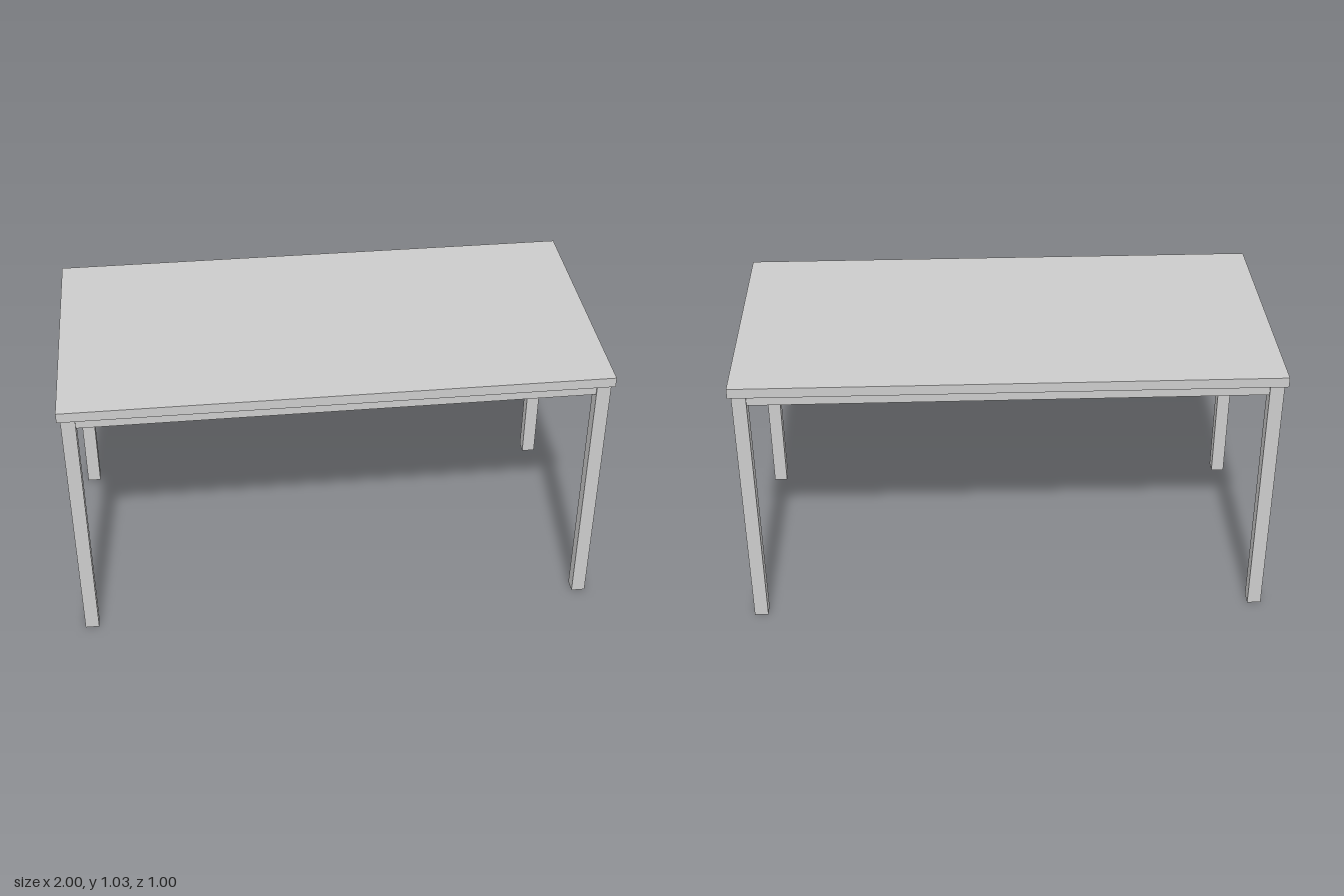
import * as THREE from 'three';

export function createModel() {
  const table = new THREE.Group();
  table.name = 'table';
  const material = new THREE.MeshStandardMaterial({ color: 0xcccccc });

  function box(name, w, h, d, x, y, z) {
    const mesh = new THREE.Mesh(new THREE.BoxGeometry(w, h, d), material);
    mesh.name = name;
    mesh.position.set(x, y, z);
    table.add(mesh);
  }

  const legHeight = 0.993, topHeight = 0.038, leg = 0.052, rail = 0.041;
  const legX = 0.962, legZ = 0.462;
  const railY = legHeight - rail / 2;

  // Thin slab with a slight overhang
  box('tableTop', 2, topHeight, 1, 0, legHeight + topHeight / 2, 0);

  for (const [sx, side] of [[1, 'left'], [-1, 'right']]) {
    // Square legs at the corners
    for (const [sz, end] of [[1, 'Front'], [-1, 'Back']])
      box(side + end + 'Leg', leg, legHeight, leg, sx * legX, legHeight / 2, sz * legZ);
    // Short rails between front and back legs
    box(side + 'Rail', rail, rail, 2 * legZ - leg, sx * legX, railY, 0);
  }

  // Long rails between left and right legs
  for (const [sz, end] of [[1, 'front'], [-1, 'back']])
    box(end + 'Rail', 2 * legX - leg, rail, rail, 0, railY, sz * legZ);

  return table;
}
